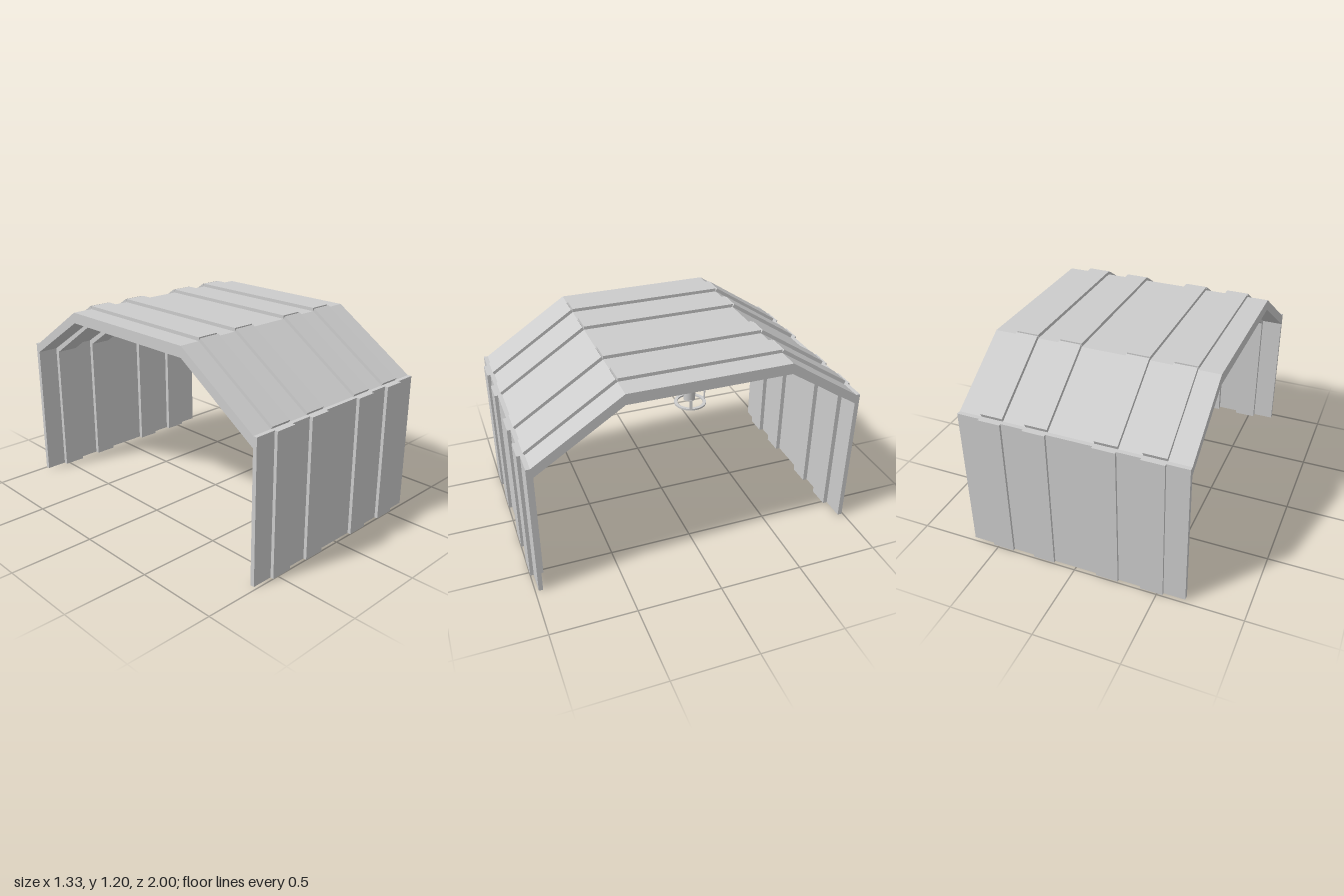
import * as THREE from 'three';

const material = new THREE.MeshStandardMaterial({ color: 0xcccccc, flatShading: true });
const smooth = new THREE.MeshStandardMaterial({ color: 0xcccccc });

// Extrudes a [z, y] outline along x between x0 and x1
function sideExtrude(name, points, x0, x1) {
  const shape = new THREE.Shape(points.map(([z, y]) => new THREE.Vector2(-z, y)));
  const geometry = new THREE.ExtrudeGeometry(shape, { depth: x1 - x0, bevelEnabled: false });
  geometry.rotateY(Math.PI / 2).translate(x0, 0, 0);
  const mesh = new THREE.Mesh(geometry, material);
  mesh.name = name;
  return mesh;
}

const rect = (z0, z1, y0, y1) => [[z0, y0], [z1, y0], [z1, y1], [z0, y1]];

// Ceiling stem with a flat ring and three short tabs
function createCeilingFixture() {
  const fixture = new THREE.Group();
  fixture.name = 'ceilingFixture';
  const stem = new THREE.Mesh(new THREE.CylinderGeometry(0.034, 0.034, 0.22, 24), smooth);
  stem.name = 'stem';
  stem.position.set(0, 1.0, 0.005);
  fixture.add(stem);

  const disc = new THREE.Shape().absarc(0, 0, 0.092, 0, Math.PI * 2);
  disc.holes.push(new THREE.Path().absarc(0, 0, 0.074, 0, Math.PI * 2, true));
  const ringGeometry = new THREE.ExtrudeGeometry(disc, { depth: 0.01, bevelEnabled: false, curveSegments: 24 });
  ringGeometry.rotateX(-Math.PI / 2);
  const ring = new THREE.Mesh(ringGeometry, smooth);
  ring.name = 'ring';
  ring.position.y = 0.863;
  fixture.add(ring);

  for (const [x, z] of [[0.083, 0.028], [-0.083, -0.028], [0, -0.088]]) {
    const tab = new THREE.Mesh(new THREE.BoxGeometry(0.016, 0.056, 0.005), material);
    tab.name = 'tab';
    tab.position.set(x, 0.897, z);
    tab.rotation.y = Math.atan2(x, z);
    fixture.add(tab);
  }
  fixture.position.set(0.36, 0, -0.045);
  return fixture;
}

export function createModel() {
  const model = new THREE.Group();
  model.name = 'archShelter';

  // Continuous shell: thin walls, thicker sloped and flat roof
  model.add(sideExtrude('shell', [
    [0.98, 0], [0.98, 0.84], [0.955, 0.84], [0.435, 1.18], [-0.525, 1.18], [-0.96, 0.895],
    [-0.985, 0.895], [-0.985, 0.01], [-0.957, 0.01], [-0.957, 0.84], [-0.525, 1.115],
    [0.435, 1.115], [0.955, 0.775], [0.955, 0],
  ], -0.663, 0.663));

  // Ribs stand proud of both faces of the shell
  const ribParts = {
    frontWallRib: rect(0.923, 1, 0, 0.84),
    frontSlopeRib: [[0.435, 1.18], [0.445, 1.197], [0.965, 0.855], [0.955, 0.838], [0.923, 0.77], [0.435, 1.09]],
    roofRib: rect(-0.525, 0.435, 1.09, 1.2),
    rearSlopeRib: [[-0.525, 1.18], [-0.535, 1.198], [-0.968, 0.915], [-0.96, 0.895], [-0.93, 0.82], [-0.525, 1.09]],
    rearWallRib: rect(-1, -0.93, 0.01, 0.895),
  };
  for (const x of [-0.47, -0.203, 0.195, 0.461]) {
    const rib = new THREE.Group();
    rib.name = 'rib';
    for (const [name, points] of Object.entries(ribParts)) {
      rib.add(sideExtrude(name, points, x - 0.066, x + 0.066));
    }
    model.add(rib);
  }

  model.add(createCeilingFixture());
  return model;
}
